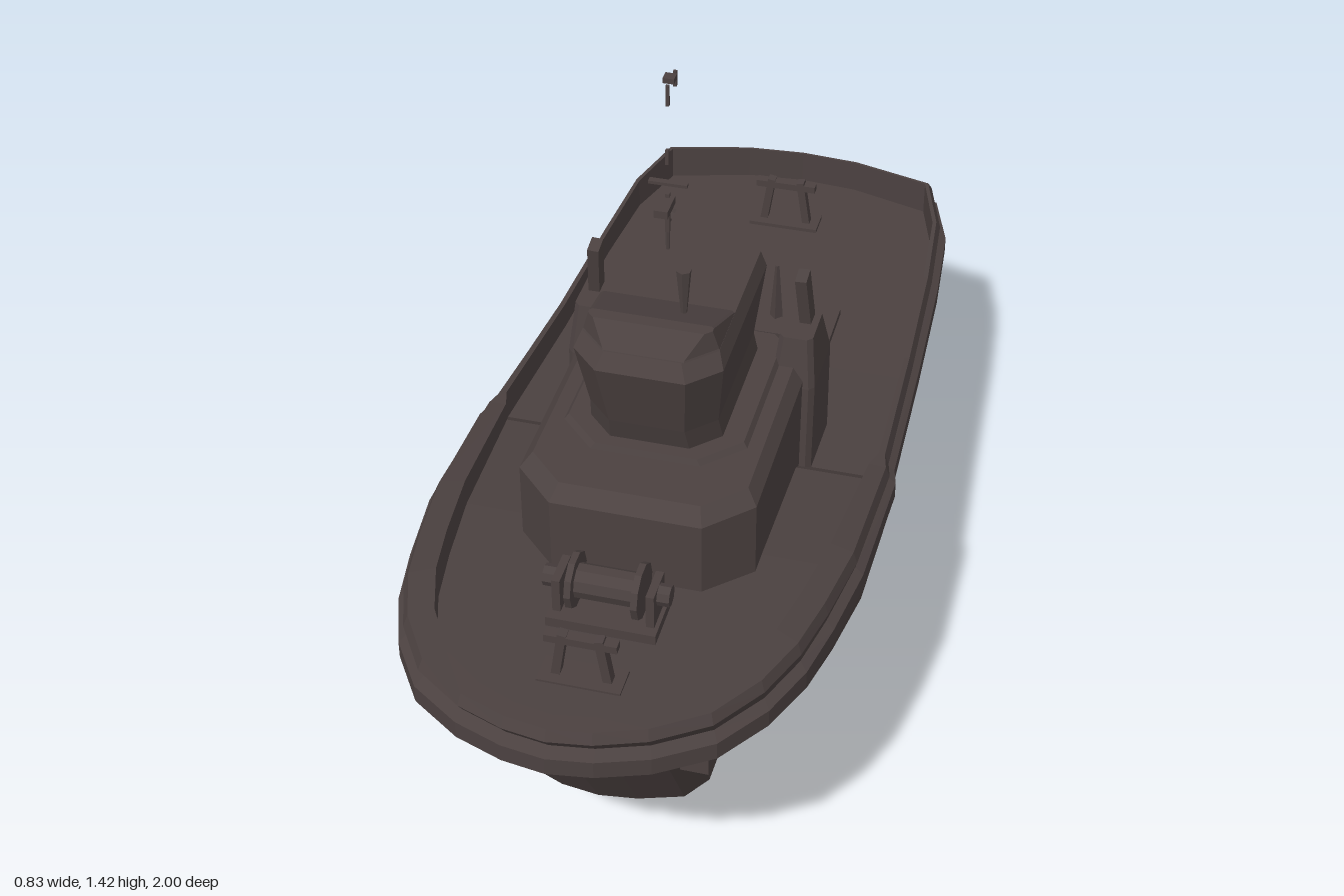
import * as THREE from 'three';

const paint = new THREE.MeshStandardMaterial({ color: 0x4b4140, side: THREE.DoubleSide, flatShading: true });
paint.name = 'dark brown paint';

// piecewise linear lookup in [[z, value], ...] with falling z
function at(table, z) {
  if (z >= table[0][0]) return table[0][1];
  for (let i = 1; i < table.length; i++) {
    const [z0, v0] = table[i - 1], [z1, v1] = table[i];
    if (z >= z1) return v0 + (v1 - v0) * (z0 - z) / (z0 - z1);
  }
  return table[table.length - 1][1];
}

// skin over closed rings of equal length, with optional end caps
function loft(rings, caps = false) {
  const n = rings[0].length, index = [];
  for (let i = 0; i < rings.length - 1; i++) {
    for (let j = 0; j < n; j++) {
      const a = i * n + j, b = i * n + (j + 1) % n;
      index.push(a, a + n, b, b, a + n, b + n);
    }
  }
  if (caps) {
    const t = (rings.length - 1) * n;
    for (let j = 1; j < n - 1; j++) index.push(0, j, j + 1, t, t + j + 1, t + j);
  }
  const g = new THREE.BufferGeometry();
  g.setAttribute('position', new THREE.Float32BufferAttribute(rings.flat(2), 3));
  g.setIndex(index);
  const flat = g.toNonIndexed();
  flat.computeVertexNormals();
  return flat;
}

// upright block with cut corners: levels of [y, halfWidth, zFront, zBack, frontCut, backCut]
function block(levels) {
  return loft(levels.map(([y, x, f, b, cf, cb]) => [
    [x - cb, y, b], [x, y, b + cb], [x, y, f - cf], [x - cf, y, f],
    [cf - x, y, f], [-x, y, f - cf], [-x, y, b + cb], [cb - x, y, b],
  ]), true);
}

function add(parent, name, geometry, x = 0, y = 0, z = 0, rx = 0, ry = 0, rz = 0) {
  const m = new THREE.Mesh(geometry, paint);
  m.name = name;
  m.position.set(x, y, z);
  m.rotation.set(rx, ry, rz);
  parent.add(m);
  return m;
}
const box = (w, h, d) => new THREE.BoxGeometry(w, h, d);
const rod = (r, h, n = 8, r2 = r) => new THREE.CylinderGeometry(r2, r, h, n);

function hullGeometry() {
  // plan outline from bow to stern
  const outline = [[0, 1], [0.08, 0.988], [0.17, 0.955], [0.265, 0.89], [0.33, 0.79], [0.37, 0.68], [0.392, 0.56],
    [0.412, 0.4], [0.415, 0.1], [0.405, 0.06], [0.388, -0.3], [0.373, -0.6], [0.355, -0.8], [0.31, -0.94], [0.13, -0.99], [0, -1]];
  // the bottom is a little wider on the left at the bow, with a steeper side there
  const bottomLeft = [[0.7, 0.185], [-0.95, 0.27]], bottomRight = [[0.7, 0.135], [-0.95, 0.3]];
  const knuckleLeft = [[0.78, 0.2], [-0.95, 0.275]];
  const rubLow = [[1, 0.55], [0.4, 0.5], [-0.3, 0.475], [-1, 0.465]];
  const rubHigh = [[1, 0.6], [0.4, 0.57], [-0.3, 0.505], [-1, 0.485]];
  const rail = [[1, 0.655], [0.7, 0.642], [0.4, 0.615], [0.1, 0.575], [-0.3, 0.545], [-0.7, 0.545], [-0.9, 0.565], [-1, 0.56]];
  const deck = [[1, 0.585], [0.4, 0.56], [0.1, 0.535], [0.06, 0.51], [-0.3, 0.49], [-1, 0.49]];
  const inner = [[0.8, 0.83], [0.4, 0.84], [0.1, 0.87], [0.06, 0.92], [-1, 0.93]];
  return loft(outline.map(([x, z]) => {
    const fore = z > 0;
    const zb = z * (fore ? 0.715 : 0.94), yb = 0.215 + (0.715 - zb) * 0.124;
    const zc = z * (fore ? 0.86 : 0.95), yc = Math.max(yb + 0.008, 0.435 + z * 0.02);
    const zi = z * 0.95, top = at(rail, z), rh = at(rubHigh, z);
    const upper = [
      [x * 0.945, yc, zc],
      [x * 0.99, at(rubLow, z), z * (fore ? 0.965 : 0.99)],
      [x, rh - 0.035, z],
      [x, rh, z],
      [x * 0.96, rh + 0.008, z * 0.975],
      [x * 0.97, top - 0.02, z * (fore ? 0.995 : 0.97)],
      [x * 0.95, top, z * (fore ? 0.985 : 0.955)],
      [x * at(inner, z), top, zi],
      [x * at(inner, z), at(deck, z), zi],
    ];
    const xl = Math.min(x * 0.9, at(bottomLeft, zb)), xr = Math.min(x * 0.9, at(bottomRight, zb));
    const left = [[xl, yb, zb], [Math.min(x * 0.92, at(knuckleLeft, zc)), yc - 0.004, zc], ...upper];
    const right = [[xr, yb, zb], [(xr + x * 0.945) / 2, (yb + yc) / 2, (zb + zc) / 2], ...upper];
    const mirror = right.map(([a, b, c]) => [-a, b, c]).reverse();
    return [[0, yb, zb], ...left, [0, at(deck, z), zi], ...mirror];
  }));
}

function winch(z, y) {
  const g = new THREE.Group();
  g.name = 'winch';
  g.position.set(0, y, z);
  add(g, 'winchBase', box(0.2, 0.02, 0.11), 0, 0.01, 0);
  add(g, 'winchDrum', rod(0.032, 0.12, 10), 0, 0.07, 0, 0, 0, Math.PI / 2);
  for (const s of [-1, 1]) {
    add(g, 'drumFlange', rod(0.052, 0.012, 10), s * 0.06, 0.07, 0, 0, 0, Math.PI / 2);
    add(g, 'winchBracket', box(0.015, 0.08, 0.07), s * 0.085, 0.05, 0);
    add(g, 'winchHead', rod(0.02, 0.03, 8), s * 0.1, 0.07, 0, 0, 0, Math.PI / 2);
  }
  return g;
}

function towBitt(z, y, h) {
  const g = new THREE.Group();
  g.name = 'towBitt';
  g.position.set(0, y, z);
  add(g, 'bittPlate', box(0.15, 0.008, 0.06), 0, 0.004, 0);
  for (const s of [-1, 1]) add(g, 'bittPost', box(0.016, h, 0.02), s * 0.04, h / 2, 0, 0, 0, s * 0.15);
  add(g, 'bittBar', box(0.13, 0.015, 0.02), 0, h * 0.88, 0);
  return g;
}

function thruster(x) {
  const g = new THREE.Group();
  g.name = 'thruster';
  g.position.set(x, 0.123, 0);
  add(g, 'thrusterPod', rod(0.034, 0.15, 8), 0, 0, -0.795, Math.PI / 2);
  add(g, 'thrusterCone', rod(0.03, 0.05, 8, 0.005), 0, 0, -0.895, -Math.PI / 2);
  add(g, 'thrusterStrut', box(0.035, 0.15, 0.035), 0, 0.065, -0.738);
  // two four-bladed propellers, one turned by an eighth
  [[-0.83, 0, 0.098], [-0.885, Math.PI / 4, 0.088]].forEach(([z, turn, len]) => {
    for (let i = 0; i < 4; i++) {
      const arm = new THREE.Group();
      arm.name = 'propellerBlade';
      arm.position.z = z;
      arm.rotation.z = turn + i * Math.PI / 2;
      const blade = box(0.046, len, 0.007), p = blade.attributes.position;
      for (let k = 0; k < p.count; k++) if (p.getY(k) < 0) p.setX(k, p.getX(k) * 0.65);
      add(arm, 'blade', blade, 0, 0.022 + len / 2, 0, 0, 0.4);
      g.add(arm);
    }
  });
  return g;
}

export function createModel() {
  const model = new THREE.Group();
  model.name = 'tugboat';
  add(model, 'hull', hullGeometry());

  // deckhouse, upper tier and wheelhouse
  add(model, 'deckhouse', block([[0.5, 0.22, 0.51, -0.09, 0.08, 0.01], [0.715, 0.22, 0.51, -0.09, 0.08, 0.01], [0.74, 0.2, 0.48, -0.07, 0.07, 0.01]]));
  add(model, 'upperTier', block([[0.73, 0.18, 0.38, -0.06, 0.07, 0.02], [0.75, 0.165, 0.37, -0.03, 0.07, 0.02]]));
  add(model, 'wheelhouse', block([
    [0.74, 0.125, 0.34, -0.02, 0.05, 0.04], [0.8, 0.12, 0.36, 0, 0.05, 0.04],
    [0.94, 0.137, 0.4, -0.03, 0.055, 0.045], [0.97, 0.125, 0.38, -0.03, 0.055, 0.045]]));
  add(model, 'raisedRoof', block([[0.96, 0.128, 0.385, 0.2, 0.055, 0.005], [0.972, 0.124, 0.375, 0.21, 0.05, 0.005], [1.01, 0.113, 0.34, 0.315, 0.012, 0.005]]));
  add(model, 'aftLedge', box(0.16, 0.008, 0.07), 0, 0.78, -0.04, 0.15);

  // canopies behind the deckhouse
  add(model, 'wideCanopy', box(0.26, 0.014, 0.17), 0.1, 0.662, -0.165);
  add(model, 'narrowCanopy', box(0.1, 0.014, 0.14), -0.18, 0.662, -0.15, 0, 0.1);
  add(model, 'canopyPost', rod(0.013, 0.12, 4, 0.004), 0.12, 0.76, -0.155);

  for (const s of [-1, 1]) {
    // exhaust casings and pipes
    const casing = add(model, 'exhaustCasing', block([[0.5, 0.042, 0.07, -0.1, 0.01, 0.01], [0.7, 0.042, 0.06, -0.1, 0.01, 0.01], [0.8, 0.032, 0.04, -0.06, 0.01, 0.01]]));
    casing.position.x = s * 0.2;
    add(model, 'exhaustPipe', box(0.022, 0.14, 0.035), s * 0.205, 0.845, -0.02, 0.2, 0, s * 0.06);
    // bow fender blocks and stern thrusters
    add(model, 'bowFender', box(0.05, 0.05, 0.06), s * 0.21, 0.475, 0.8);
    model.add(thruster(s * 0.124));
  }

  model.add(winch(0.62, 0.578), winch(-0.24, 0.497), towBitt(0.78, 0.575, 0.1), towBitt(-0.78, 0.49, 0.11));

  // roof gear and mast lights
  add(model, 'horn', rod(0.006, 0.09, 6, 0.014), 0.05, 1.055, 0.285);
  add(model, 'searchlight', rod(0.012, 0.025, 6), -0.043, 1.05, 0.05, 0, 0, 1.2);
  add(model, 'searchlightPost', rod(0.004, 0.07, 6), -0.043, 1.0, 0.05);
  add(model, 'radarBar', box(0.07, 0.006, 0.012), 0, 1.218, 0.2);
  add(model, 'radarBase', box(0.025, 0.015, 0.055), 0, 1.185, 0.225);
  add(model, 'lowerMast', box(0.008, 0.08, 0.008), 0, 1.16, 0.205);
  add(model, 'middleMast', box(0.006, 0.03, 0.006), 0, 1.275, 0.205);
  add(model, 'upperMast', box(0.006, 0.04, 0.006), 0, 1.395, 0.2);
  add(model, 'mastLight', box(0.02, 0.01, 0.02), 0, 1.42, 0.185);
  add(model, 'mastAerial', box(0.006, 0.03, 0.006), 0, 1.4, 0.15);
  return model;
}
